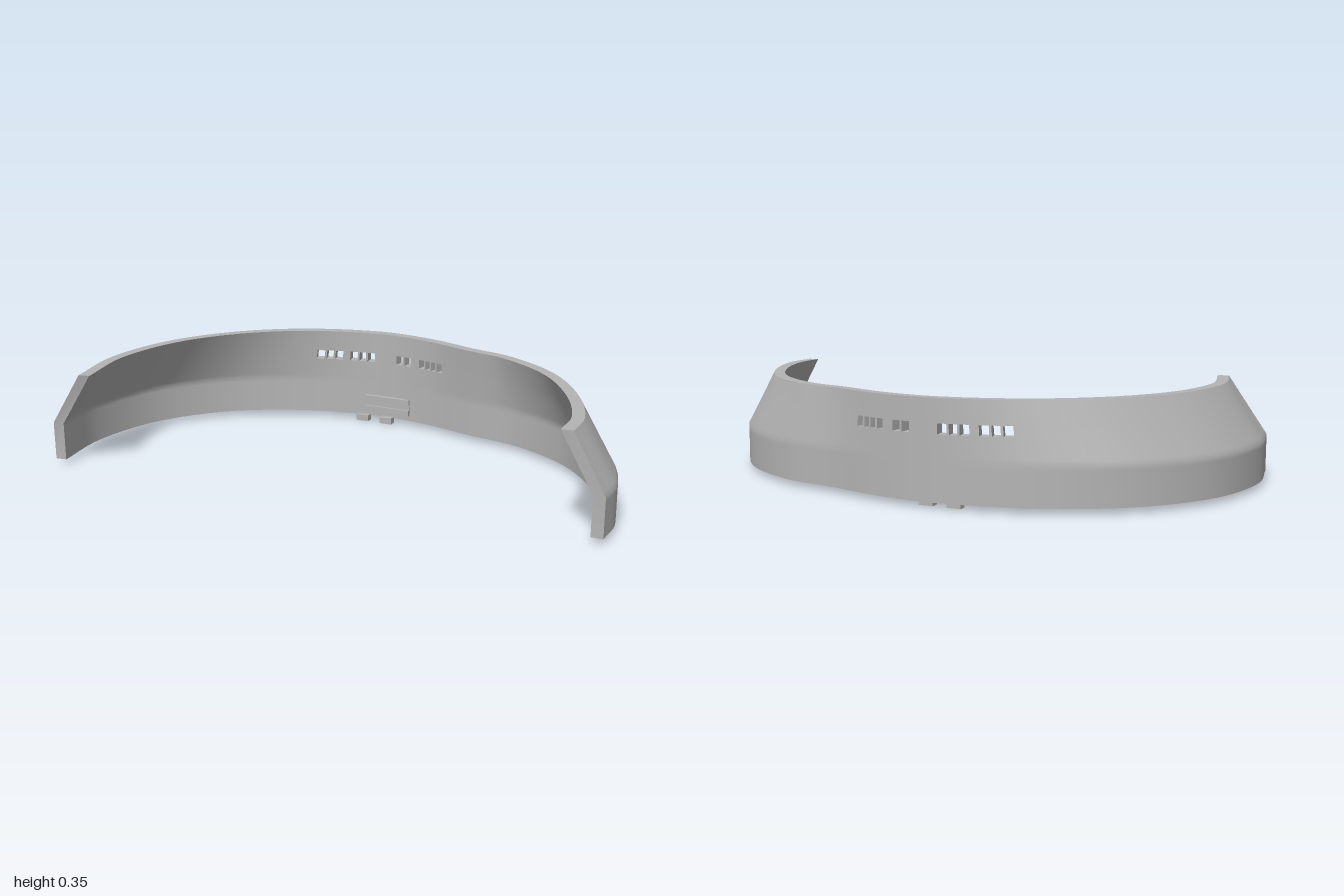
import * as THREE from 'three';

const THICK = 0.04;
const ROWS = [0.02, 0.14, 0.155, 0.17, 0.24, 0.275, 0.355];
const WINDOW_ROW = 4;
// window groups: start x, end x, number of panes
const WINDOWS = [[-0.405, -0.3, 3], [-0.27, -0.165, 3], [-0.065, 0, 2], [0.04, 0.15, 4]];

const path = pts => new THREE.CatmullRomCurve3(pts.map(([x, z]) => new THREE.Vector3(x, 0, z)));

// Plan of the wall at its foot and at its rim, with matching points
const foot = path([[-0.97, 0.487], [-1, 0.25], [-0.935, -0.045], [-0.75, -0.295], [-0.475, -0.455], [-0.15, -0.52],
  [0.07, -0.5], [0.27, -0.447], [0.48, -0.4], [0.72, -0.26], [0.9, -0.03], [0.995, 0.22], [0.995, 0.357]]);
const rim = path([[-0.82, 0.517], [-0.87, 0.25], [-0.815, -0.045], [-0.66, -0.28], [-0.44, -0.44], [-0.15, -0.52],
  [0.07, -0.495], [0.26, -0.428], [0.43, -0.375], [0.64, -0.225], [0.8, 0.01], [0.885, 0.24], [0.89, 0.372]]);

// Point on the wall; depth 0 is the outer skin, 1 the inner
function wallPoint(u, y, depth) {
  const k = THREE.MathUtils.clamp((y - 0.155) / 0.2, 0, 1);
  const p = foot.getPoint(u).lerp(rim.getPoint(u), k);
  const t = foot.getTangent(u).lerp(rim.getTangent(u), k).normalize();
  return new THREE.Vector3(p.x - t.z * THICK * depth, y, p.z + t.x * THICK * depth);
}

// Curve parameter where the wall crosses a given x at window height
function paramAtX(x) {
  let a = 0.2, b = 0.8;
  for (let i = 0; i < 40; i++) {
    const m = (a + b) / 2;
    if (wallPoint(m, 0.257, 0).x < x) a = m; else b = m;
  }
  return a;
}

// Grid surface from a point rule, leaving out skipped cells
function patch(nu, nv, point, flip = false, skip = () => false) {
  const pos = [], idx = [];
  for (let j = 0; j < nv; j++) for (let i = 0; i < nu; i++) pos.push(...point(i, j).toArray());
  for (let j = 0; j < nv - 1; j++) for (let i = 0; i < nu - 1; i++) {
    if (skip(i, j)) continue;
    const a = j * nu + i, b = a + 1, c = a + nu + 1, d = a + nu;
    if (flip) idx.push(a, c, b, a, d, c); else idx.push(a, b, c, a, c, d);
  }
  const g = new THREE.BufferGeometry();
  g.setAttribute('position', new THREE.Float32BufferAttribute(pos, 3));
  g.setIndex(idx);
  g.computeVertexNormals();
  return g;
}

export function createModel() {
  const group = new THREE.Group();
  const grey = new THREE.MeshStandardMaterial({ color: 0xb4b4b4 });
  grey.name = 'plain grey';
  const add = (name, geometry, parent = group) => {
    const mesh = new THREE.Mesh(geometry, grey);
    mesh.name = name;
    parent.add(mesh);
    return mesh;
  };

  // Pane openings as parameter ranges, with thin mullions between
  const panes = [], spans = [];
  for (const [x0, x1, n] of WINDOWS) {
    const w = (x1 - x0) / n, gap = 0.004;
    spans.push([paramAtX(x0), paramAtX(x1)]);
    for (let i = 0; i < n; i++) {
      panes.push([paramAtX(x0 + i * w + (i ? gap : 0)), paramAtX(x0 + (i + 1) * w - (i < n - 1 ? gap : 0))]);
    }
  }

  // Wall columns: even steps plus the pane edges
  const cols = panes.flat();
  for (let i = 0; i <= 96; i++) {
    const u = i / 96;
    if (!spans.some(([a, b]) => u > a - 0.002 && u < b + 0.002)) cols.push(u);
  }
  cols.sort((a, b) => a - b);
  const nu = cols.length, nv = ROWS.length;
  const isPane = (i, j) => {
    if (j !== WINDOW_ROW) return false;
    const m = (cols[i] + cols[i + 1]) / 2;
    return panes.some(([a, b]) => m > a && m < b);
  };

  // Inner and outer skins
  const wall = new THREE.Group();
  wall.name = 'curvedWall';
  group.add(wall);
  add('outerSkin', patch(nu, nv, (i, j) => wallPoint(cols[i], ROWS[j], 0), true, isPane), wall);
  add('innerSkin', patch(nu, nv, (i, j) => wallPoint(cols[i], ROWS[j], 1), false, isPane), wall);

  // Rim, underside and the two ends
  add('rim', patch(nu, 2, (i, j) => wallPoint(cols[i], 0.355, j), true), wall);
  add('underside', patch(nu, 2, (i, j) => wallPoint(cols[i], 0.02, j)), wall);
  const endRows = [0.02, 0.155, 0.355];
  add('rightEnd', patch(2, 3, (i, j) => wallPoint(0, endRows[j], i)), wall);
  add('leftEnd', patch(2, 3, (i, j) => wallPoint(1, endRows[j], i), true), wall);

  // Reveals lining each window opening
  const reveals = new THREE.Group();
  reveals.name = 'windowReveals';
  wall.add(reveals);
  const y0 = ROWS[WINDOW_ROW], y1 = ROWS[WINDOW_ROW + 1];
  for (const [a, b] of panes) {
    const u = [a, b], y = [y0, y1];
    add('sill', patch(2, 2, (i, j) => wallPoint(u[i], y0, j), true), reveals);
    add('head', patch(2, 2, (i, j) => wallPoint(u[i], y1, j)), reveals);
    add('jamb', patch(2, 2, (i, j) => wallPoint(a, y[j], i), true), reveals);
    add('jamb', patch(2, 2, (i, j) => wallPoint(b, y[j], i)), reveals);
  }

  // Slatted shelf on the inside of the wall
  for (const y of [0.053, 0.095]) {
    add('shelfSlat', new THREE.BoxGeometry(0.19, 0.021, 0.035)).position.set(-0.103, y, -0.478);
  }
  add('shelfBack', new THREE.BoxGeometry(0.19, 0.063, 0.02)).position.set(-0.103, 0.074, -0.48);

  // Small feet under the wall
  for (const x of [-0.205, -0.105]) {
    add('foot', new THREE.BoxGeometry(0.05, 0.024, 0.03)).position.set(x, 0.012, -0.47);
  }
  return group;
}
